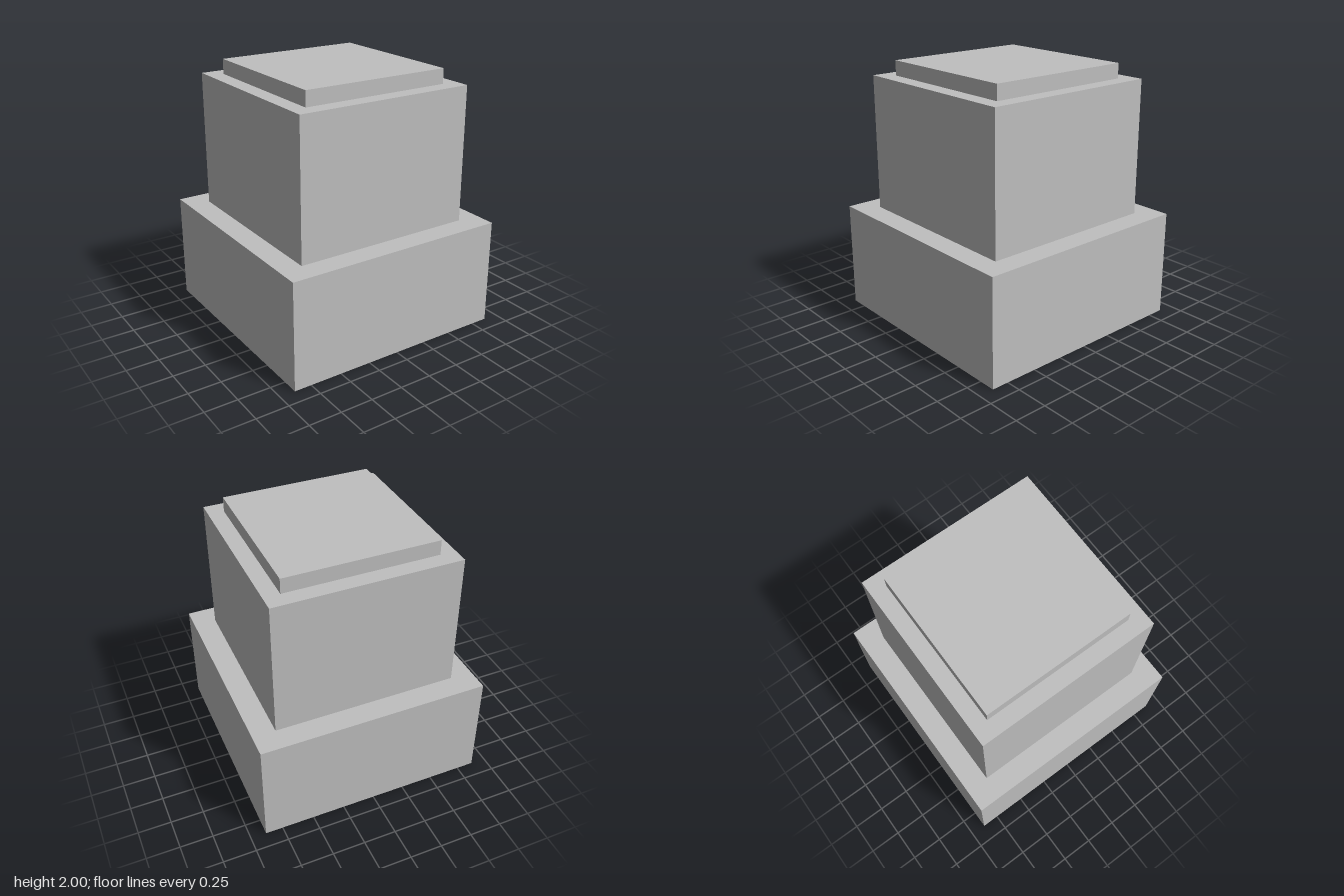
import * as THREE from 'three';

export function createModel() {
  const model = new THREE.Group();
  model.name = 'steppedBlock';
  const grey = new THREE.MeshStandardMaterial({ color: 0xbfbfbf });
  grey.name = 'grey';

  // Square tier standing between two heights
  function addTier(name, width, bottom, top) {
    const tier = new THREE.Mesh(new THREE.BoxGeometry(width, top - bottom, width), grey);
    tier.name = name;
    tier.position.y = (bottom + top) / 2;
    model.add(tier);
  }

  addTier('base', 1.765, 0, 0.83);
  addTier('body', 1.415, 0.83, 1.885);
  addTier('cap', 1.17, 1.885, 2);

  return model;
}
